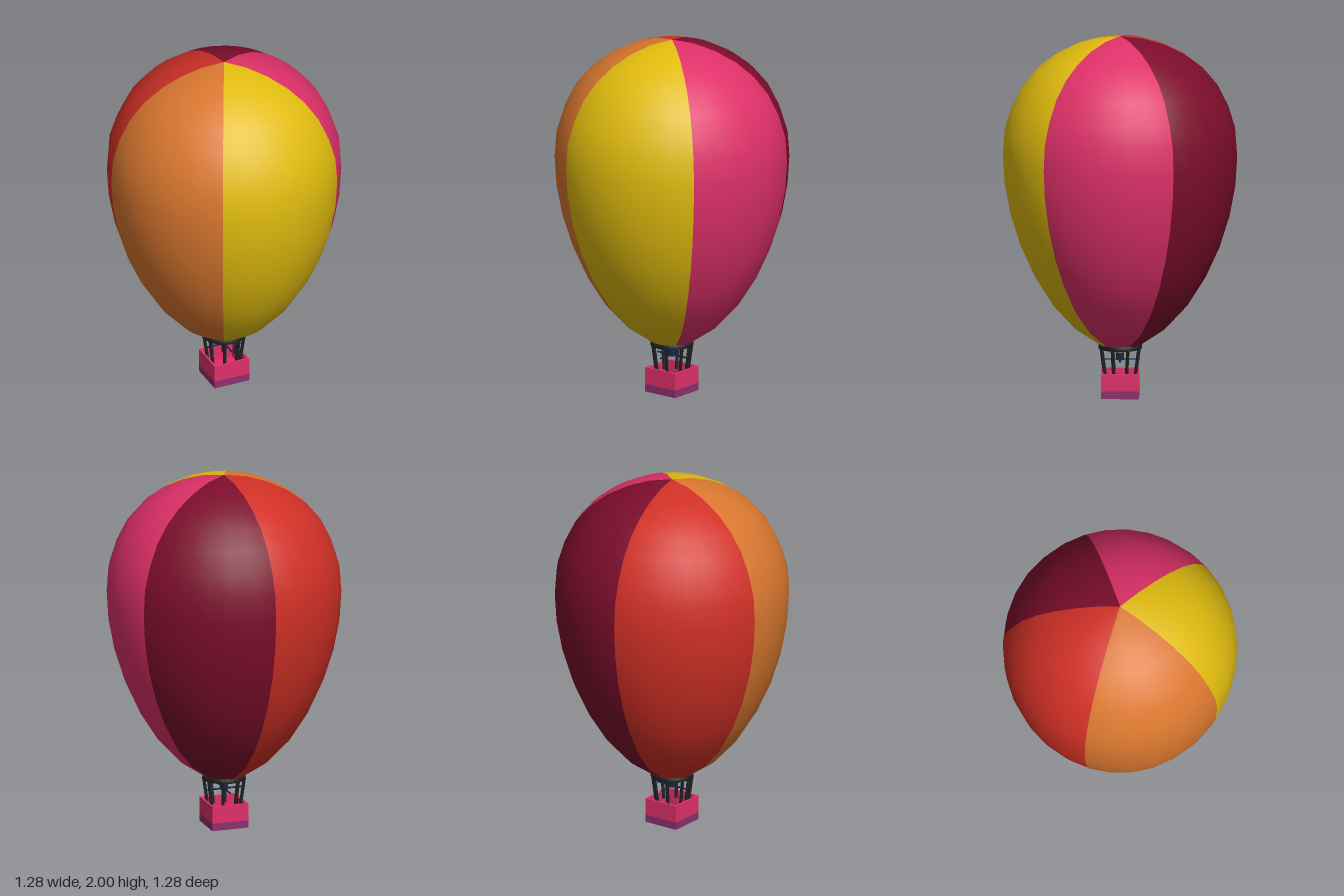
import * as THREE from 'three';

const mat = (name, color, side = THREE.FrontSide) => {
  const m = new THREE.MeshStandardMaterial({ color, side });
  m.name = name;
  return m;
};

export function createModel() {
  const model = new THREE.Group();
  model.name = 'hotAirBalloon';

  const D = THREE.DoubleSide;
  const yellow = mat('yellow', 0xe0bb0e, D);
  const pink = mat('pink', 0xde3069, D);
  const maroon = mat('maroon', 0x7c0d2c, D);
  const red = mat('red', 0xd03026, D);
  const orange = mat('orange', 0xd9772f, D);
  const black = mat('black', 0x1e2423, D);
  const navy = mat('navy', 0x15294a);
  const purple = mat('purple', 0x8c2f70);

  const add = (parent, name, geometry, material, x = 0, y = 0, z = 0) => {
    const mesh = new THREE.Mesh(geometry, material);
    mesh.name = name;
    mesh.position.set(x, y, z);
    parent.add(mesh);
    return mesh;
  };
  const group = (name) => {
    const g = new THREE.Group();
    g.name = name;
    model.add(g);
    return g;
  };
  // Round bar between two points
  const bar = (parent, name, a, b, radius, material) => {
    const dir = b.clone().sub(a);
    const mesh = add(parent, name, new THREE.CylinderGeometry(radius, radius, dir.length(), 6), material);
    mesh.position.copy(a).add(b).multiplyScalar(0.5);
    mesh.quaternion.setFromUnitVectors(new THREE.Vector3(0, 1, 0), dir.normalize());
  };

  // Envelope: five lathed gores sharing one profile
  const profile = [
    [0.11, 0.285], [0.25, 0.38], [0.37, 0.51], [0.47, 0.67], [0.545, 0.835],
    [0.6, 1.01], [0.632, 1.18], [0.642, 1.34], [0.632, 1.48], [0.595, 1.6],
    [0.535, 1.72], [0.455, 1.815], [0.357, 1.89], [0.245, 1.947], [0.124, 1.985], [0, 2],
  ].map(([r, y]) => new THREE.Vector2(r, y));
  const envelope = group('envelope');
  const seams = [-25.3, 49.8, 117.5, 187, 261.4, 334.7].map(THREE.MathUtils.degToRad);
  [yellow, pink, maroon, red, orange].forEach((m, i) => {
    const gore = new THREE.LatheGeometry(profile, 6, seams[i], seams[i + 1] - seams[i]);
    add(envelope, m.name + 'Gore', gore, m);
  });

  // Mouth ring: open band with rectangular section
  const band = [[0.104, 0.265], [0.118, 0.265], [0.118, 0.293], [0.104, 0.293], [0.104, 0.265]]
    .map(([r, y]) => new THREE.Vector2(r, y));
  add(model, 'mouthRing', new THREE.LatheGeometry(band, 30), black);

  // Posts from basket rim to mouth ring
  const posts = group('posts');
  for (let i = 0; i < 8; i++) {
    const a = Math.PI / 8 + (i * Math.PI) / 4;
    const at = (r, y) => new THREE.Vector3(r * Math.sin(a), y, r * Math.cos(a));
    bar(posts, 'post', at(0.088, 0.1), at(0.112, 0.27), 0.009, black);
  }

  // Burner on crossed support bars
  const burner = group('burner');
  bar(burner, 'supportBar', new THREE.Vector3(-0.1, 0.206, 0), new THREE.Vector3(0.1, 0.206, 0), 0.005, navy);
  bar(burner, 'supportBar', new THREE.Vector3(0, 0.206, -0.1), new THREE.Vector3(0, 0.206, 0.1), 0.005, navy);
  add(burner, 'burnerCan', new THREE.CylinderGeometry(0.022, 0.022, 0.042, 12), navy, 0, 0.222, 0);
  add(burner, 'flame', new THREE.ConeGeometry(0.02, 0.035, 12), orange, 0, 0.26, 0);

  // Open basket: purple base with four pink walls
  const basket = group('basket');
  const half = 0.104, wall = 0.012, baseTop = 0.042, rim = 0.138;
  add(basket, 'base', new THREE.BoxGeometry(half * 2, baseTop, half * 2), purple, 0, baseTop / 2, 0);
  add(basket, 'floor', new THREE.BoxGeometry(0.184, 0.006, 0.184), pink, 0, baseTop + 0.003, 0);
  const h = rim - baseTop, y = (rim + baseTop) / 2, off = half - wall / 2;
  for (const s of [-1, 1]) {
    add(basket, 'endWall', new THREE.BoxGeometry(half * 2, h, wall), pink, 0, y, s * off);
    add(basket, 'sideWall', new THREE.BoxGeometry(wall, h, (half - wall) * 2), pink, s * off, y, 0);
  }

  return model;
}
